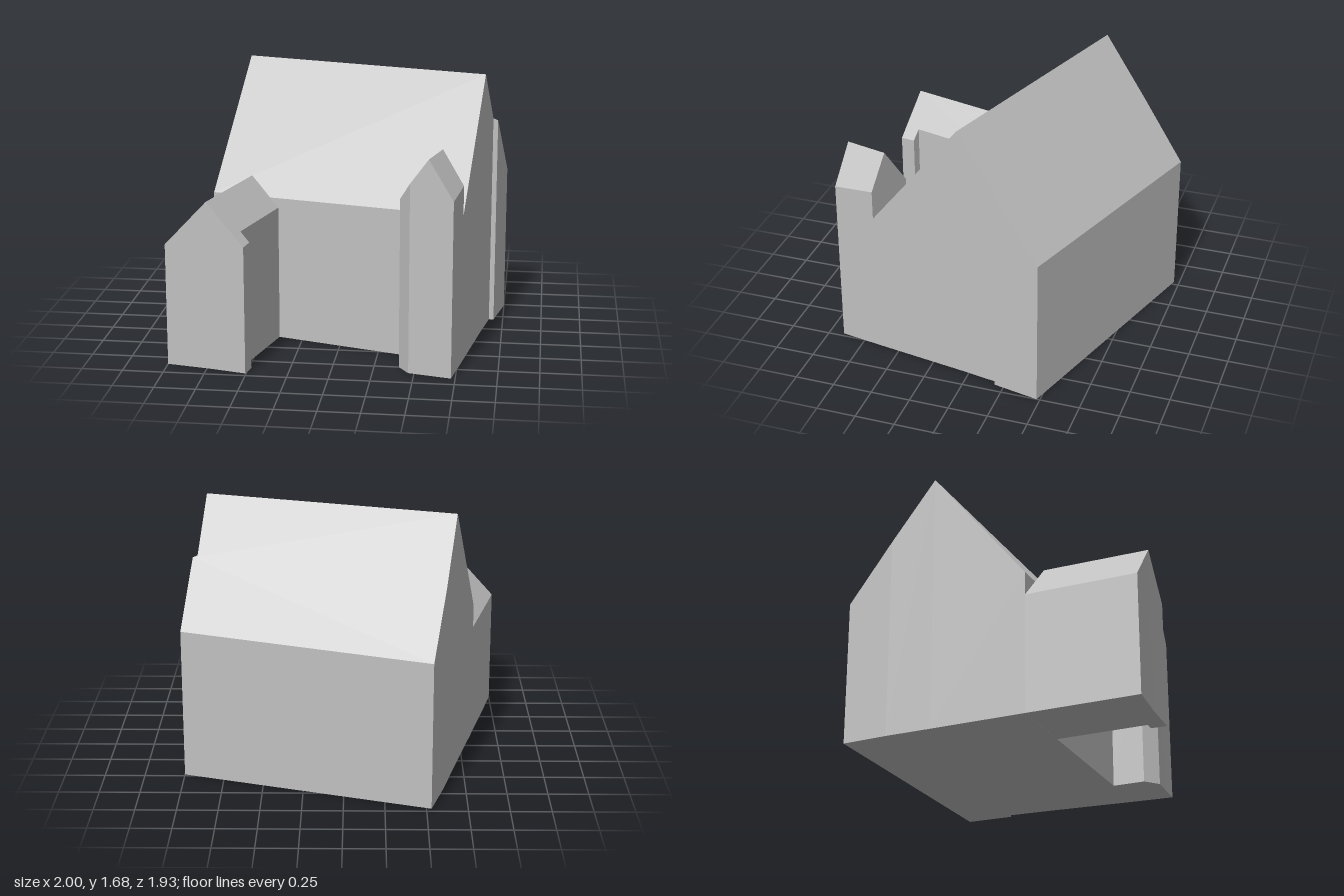
import * as THREE from 'three';

// Gabled block: footprint points are [x, z]; the ring runs ridge end a -> side1 -> ridge end b -> side2,
// counter-clockwise seen from above. Roof height falls off with distance from the ridge line.
function gabledBlock({ peak, a, b, side1, slope1, side2, slope2 }) {
  const pos = [];
  const len = Math.hypot(b[0] - a[0], b[1] - a[1]);
  const dist = ([x, z]) => Math.abs((x - a[0]) * (b[1] - a[1]) - (z - a[1]) * (b[0] - a[0])) / len;
  const corner = (slope) => (p) => ({ x: p[0], z: p[1], y: peak - slope * dist(p) });
  const halves = [
    [a, ...side1, b].map(corner(slope1)),
    [b, ...side2, a].map(corner(slope2)),
  ];
  for (const half of halves) {
    // Roof slope and floor
    const flat = half.map((p) => new THREE.Vector2(p.x, p.z));
    for (const tri of THREE.ShapeUtils.triangulateShape(flat, [])) {
      let [p, q, r] = tri.map((i) => half[i]);
      if ((q.z - p.z) * (r.x - p.x) - (q.x - p.x) * (r.z - p.z) < 0) [q, r] = [r, q];
      for (const v of [p, q, r]) pos.push(v.x, v.y, v.z);
      for (const v of [p, r, q]) pos.push(v.x, 0, v.z);
    }
    // Walls
    for (let i = 0; i < half.length - 1; i++) {
      const p = half[i], q = half[i + 1];
      pos.push(p.x, 0, p.z, q.x, 0, q.z, q.x, q.y, q.z);
      pos.push(p.x, 0, p.z, q.x, q.y, q.z, p.x, p.y, p.z);
    }
  }
  const geometry = new THREE.BufferGeometry();
  geometry.setAttribute('position', new THREE.Float32BufferAttribute(pos, 3));
  geometry.computeVertexNormals();
  return geometry;
}

export function createModel() {
  const group = new THREE.Group();
  group.name = 'house';
  const grey = new THREE.MeshStandardMaterial({ color: 0xc0c0c0 });
  grey.name = 'plain grey';

  const parts = {
    mainHouse: {
      peak: 1.68, a: [-0.68, -0.41], b: [0.865, 0.06],
      side1: [[-0.83, 0.18], [0.77, 0.645]], slope1: 1.27,
      side2: [[0.91, -0.19], [0.94, -0.19], [1, -0.48], [-0.53, -0.965], [-0.61, -0.69]], slope2: 1.313,
    },
    // Long low wing with a small corner pier
    rightWing: {
      peak: 1.045, a: [-0.735, 0.91], b: [-0.57, 0.257],
      side1: [[-0.505, 0.965], [-0.485, 0.87], [-0.54, 0.855], [-0.4, 0.305]], slope1: 1.085,
      side2: [[-0.83, 0.18], [-1, 0.86]], slope2: 1.06,
    },
    // Short tall wing with a chamfered corner
    leftWing: {
      peak: 1.33, a: [0.575, 0.87], b: [0.64, 0.607],
      side1: [[0.725, 0.905], [0.77, 0.645]], slope1: 1.56,
      side2: [[0.45, 0.552], [0.4, 0.75], [0.465, 0.845]], slope2: 1.37,
    },
  };
  for (const [name, spec] of Object.entries(parts)) {
    const mesh = new THREE.Mesh(gabledBlock(spec), grey);
    mesh.name = name;
    group.add(mesh);
  }
  return group;
}
